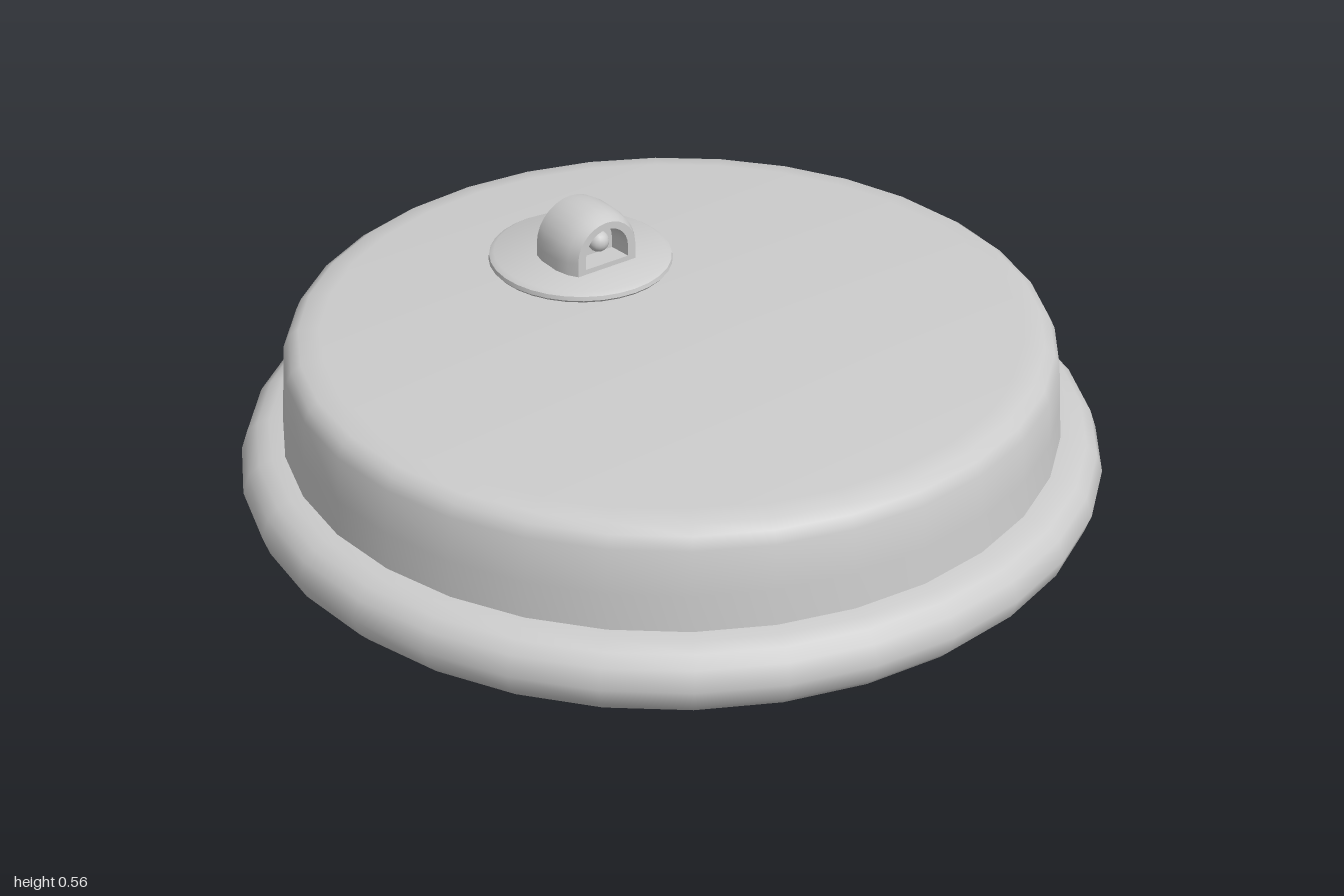
import * as THREE from 'three';
import { toCreasedNormals } from 'three/addons/utils/BufferGeometryUtils.js';

const grey = new THREE.MeshStandardMaterial({ color: 0xcccccc });
grey.name = 'plain grey';

// Revolved part from [radius, y] pairs, sharp only at strong corners
function lathe(name, profile, segments, crease) {
  const points = profile.map(([r, y]) => new THREE.Vector2(r, y));
  const geometry = toCreasedNormals(new THREE.LatheGeometry(points, segments), crease);
  const mesh = new THREE.Mesh(geometry, grey);
  mesh.name = name;
  return mesh;
}

// Arch-shaped loop, counter-clockwise seen from the front
function archLoop(z, w, bottom, top) {
  const loop = [[w, bottom, z]];
  const steps = 14;
  for (let i = 0; i <= steps; i++) {
    const a = (Math.PI * i) / steps;
    loop.push([w * Math.cos(a), top - w + w * Math.sin(a), z]);
  }
  loop.push([-w, bottom, z]);
  return loop;
}

// Skin joining consecutive loops
function loft(loops) {
  const n = loops[0].length;
  const index = [];
  for (let i = 0; i < loops.length - 1; i++) {
    for (let j = 0; j < n; j++) {
      const k = (j + 1) % n;
      const a = i * n + j, b = i * n + k, c = a + n, d = b + n;
      index.push(a, b, c, b, d, c);
    }
  }
  const geometry = new THREE.BufferGeometry();
  geometry.setAttribute('position', new THREE.Float32BufferAttribute(loops.flat(2), 3));
  geometry.setIndex(index);
  return toCreasedNormals(geometry, 0.7);
}

export function createModel() {
  const model = new THREE.Group();
  model.name = 'roundBase';

  // Wide rounded rim at the foot
  const rim = lathe('rim', [
    [0, 0], [0.93, 0.004], [0.96, 0.013], [0.985, 0.04], [1, 0.085],
    [0.985, 0.13], [0.96, 0.153], [0.93, 0.165], [0.88, 0.168],
  ], 32, 0.75);
  // Drum with a soft shoulder and a flat top
  const drum = lathe('drum', [
    [0.9, 0.16], [0.893, 0.25], [0.885, 0.355], [0.872, 0.383],
    [0.85, 0.398], [0.8, 0.404], [0, 0.404],
  ], 32, 0.75);
  model.add(rim, drum);

  // Small mounting disc towards the back
  const disc = lathe('mountingDisc', [
    [0.215, 0.4], [0.224, 0.41], [0.222, 0.42], [0.21, 0.427], [0, 0.428],
  ], 32, 0.6);
  disc.scale.x = 0.965;
  disc.position.z = -0.362;
  model.add(disc);

  // Hooded housing: back face, shell, front lip, recess
  const hood = new THREE.Mesh(loft([
    archLoop(-0.4, 0, 0.48, 0.48),
    archLoop(-0.4, 0.098, 0.42, 0.556),
    archLoop(-0.37, 0.105, 0.42, 0.561),
    archLoop(-0.31, 0.105, 0.42, 0.561),
    archLoop(-0.275, 0.096, 0.42, 0.556),
    archLoop(-0.252, 0.082, 0.42, 0.545),
    archLoop(-0.252, 0.06, 0.44, 0.528),
    archLoop(-0.31, 0.055, 0.44, 0.524),
    archLoop(-0.31, 0, 0.48, 0.48),
  ]), grey);
  hood.name = 'hood';
  model.add(hood);

  // Round bead inside the recess
  const bead = new THREE.Mesh(new THREE.SphereGeometry(0.026, 16, 12), grey);
  bead.name = 'bead';
  bead.position.set(0, 0.483, -0.288);
  model.add(bead);

  return model;
}
